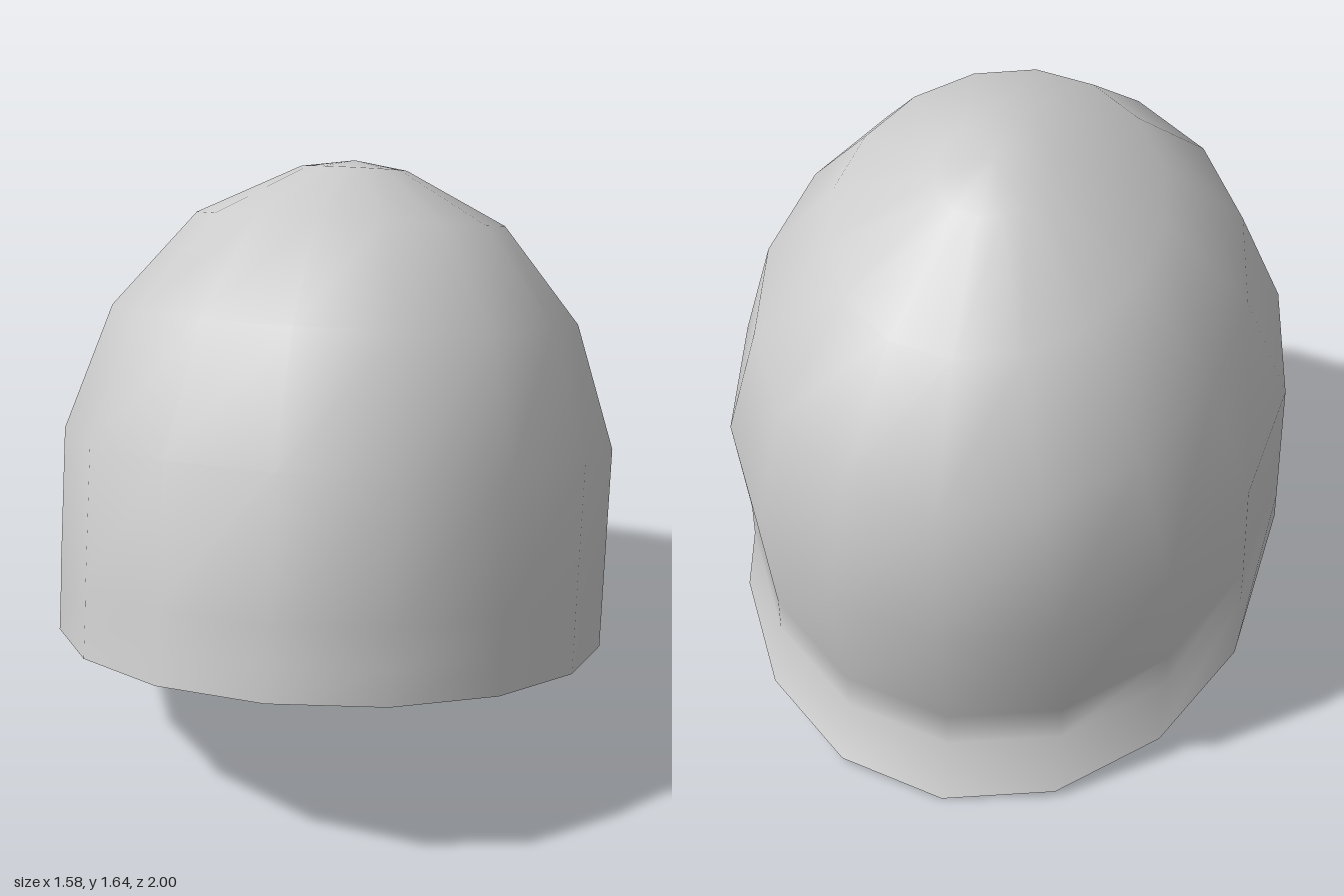
import * as THREE from 'three';

const SIDES = 16;
const TILT = 0.27; // slope of every ring, rising towards the front

// Rings from rim to crown: centre z, centre y, half width, half depth, backward flare at the nape
const RINGS = [
  [0.07, 0.287, 0.79, 0.93, 0.125],
  [0.045, 0.385, 0.79, 0.927, 0.018],
  [0.025, 0.48, 0.79, 0.925, 0],
  [-0.075, 0.85, 0.79, 0.925, 0],
  [-0.165, 1.19, 0.67, 0.785, 0],
  [-0.235, 1.45, 0.445, 0.525, 0],
  [-0.27, 1.59, 0.154, 0.18, 0],
];
const POLE = [0, 1.612, -0.28];

function shellGeometry() {
  const positions = [];
  const index = [];
  for (const [cz, cy, halfWidth, halfDepth, flare] of RINGS) {
    for (let j = 0; j < SIDES; j++) {
      const a = (j / SIDES) * Math.PI * 2;
      const back = Math.cos(a) < -0.01;
      const z = cz + halfDepth * Math.cos(a) - (back ? flare : 0);
      positions.push(halfWidth * Math.sin(a), cy + TILT * (z - cz), z);
    }
  }
  positions.push(...POLE);
  const pole = RINGS.length * SIDES;

  for (let i = 0; i < RINGS.length; i++) {
    for (let j = 0; j < SIDES; j++) {
      const k = (j + 1) % SIDES;
      const a = i * SIDES + j;
      const b = i * SIDES + k;
      if (i === RINGS.length - 1) index.push(a, b, pole);
      else index.push(a, b, b + SIDES, a, b + SIDES, a + SIDES);
    }
  }

  const geometry = new THREE.BufferGeometry();
  geometry.setAttribute('position', new THREE.Float32BufferAttribute(positions, 3));
  geometry.setIndex(index);
  geometry.computeVertexNormals();
  return geometry;
}

export function createModel() {
  const group = new THREE.Group();
  group.name = 'helmet';

  // Thin open shell with a flared neck guard at the back
  const shell = new THREE.Mesh(
    shellGeometry(),
    new THREE.MeshStandardMaterial({ color: 0xcccccc, side: THREE.DoubleSide })
  );
  shell.name = 'helmetShell';
  group.add(shell);
  return group;
}
